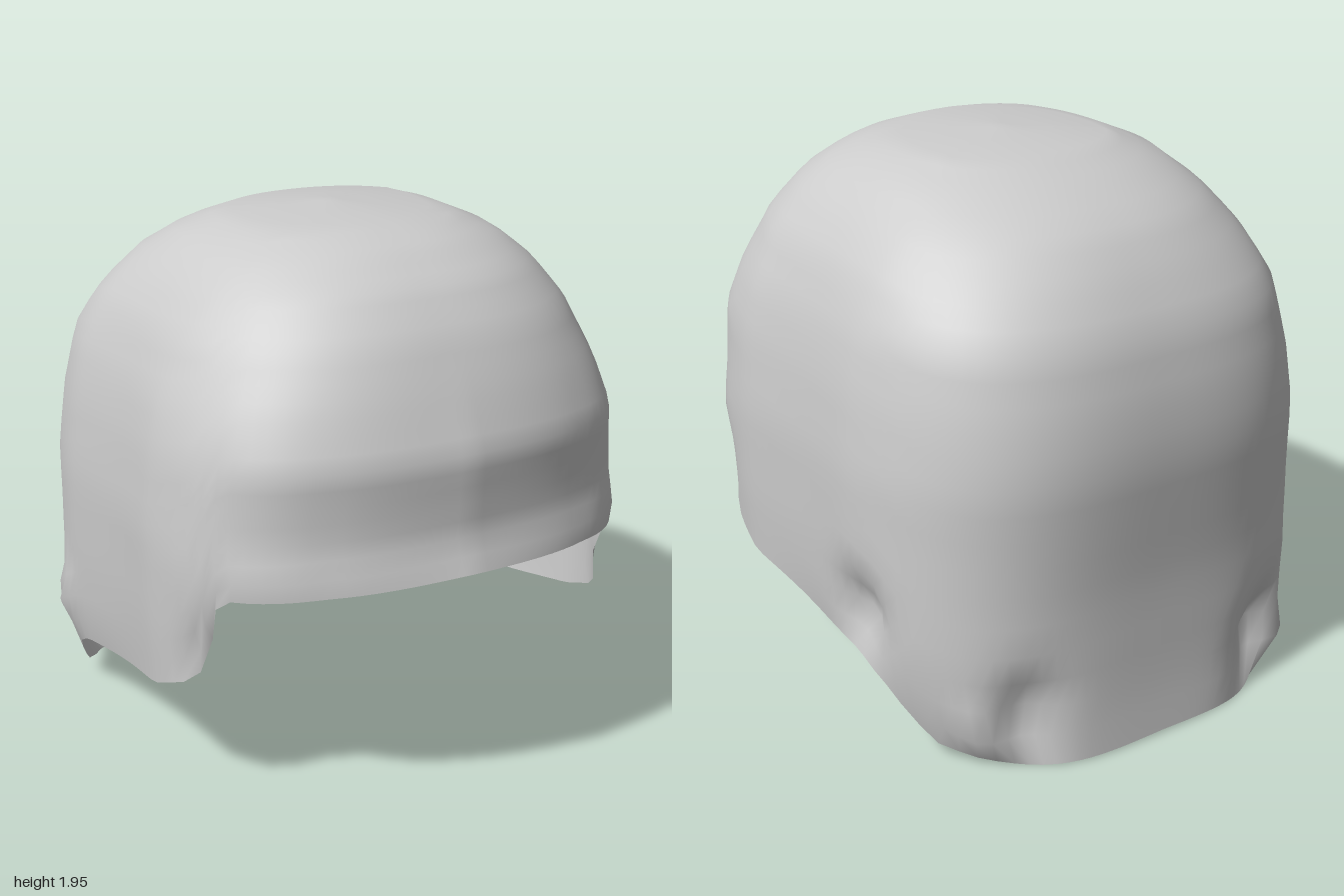
import * as THREE from 'three';

// piecewise-linear lookup in [key, value] pairs
function lookup(table, k) {
  if (k <= table[0][0]) return table[0][1];
  for (let i = 1; i < table.length; i++) {
    const [k0, v0] = table[i - 1], [k1, v1] = table[i];
    if (k <= k1) return v0 + (v1 - v0) * (k - k0) / (k1 - k0);
  }
  return table[table.length - 1][1];
}

const TOP = 1.965;
// half width, front reach and back reach by height
const WIDTH = [[0.01, 0.68], [0.06, 0.77], [0.2, 0.82], [0.42, 0.865], [0.65, 0.88], [1, 0.885], [1.27, 0.86],
  [1.45, 0.825], [1.64, 0.755], [1.77, 0.66], [1.87, 0.55], [1.94, 0.38], [TOP, 0]];
const FRONT = [[0.5, 0.96], [0.85, 0.98], [0.91, 1], [1.03, 0.955], [1.2, 0.96], [1.3, 0.97], [1.5, 0.88],
  [1.67, 0.79], [1.8, 0.68], [1.9, 0.53], [1.95, 0.38], [TOP, 0]];
const BACK = [[0.02, 0.98], [0.2, 0.96], [0.6, 0.95], [1.05, 0.98], [1.25, 0.96], [1.48, 0.9], [1.65, 0.79],
  [1.77, 0.68], [1.87, 0.5], [1.94, 0.31], [TOP, 0]];
// rim height by angle: nape, neck side, cheek, brow
const RIM = [[-90, 0.02], [-49, 0.01], [-37, 0.05], [-34, 0.09], [-28, 0.23], [-20, 0.31], [0, 0.37], [20, 0.43],
  [30, 0.5], [34, 0.56], [37, 0.74], [39, 0.82], [42, 0.86], [58, 0.885], [90, 0.91]];
// squareness of the plan outline by height, front and back
const SQUARE_FRONT = [[0.5, 3.2], [1.3, 3.2], [1.6, 2.6], [1.9, 2.4]];
const SQUARE_BACK = [[0.2, 3.6], [0.8, 3.1], [1.3, 2.9], [1.5, 2.9], [1.7, 2.4], [1.85, 2.15]];
// strength of the upright ridge down the middle of the brow, by height
const RIDGE = [[1.3, 0.05], [1.6, 0]];
// dents (negative) and flares (positive): x, y, z, radius, amount
const DENTS = [
  [0.88, 0.48, -0.38, 0.12, -0.09],
  [0.55, 0.2, -0.93, 0.12, -0.09], [-0.52, 0.2, -0.93, 0.13, -0.12],
  [-0.86, 0.42, -0.5, 0.1, 0.05], [-0.66, 0.14, -0.85, 0.09, 0.06], [0.68, 0.11, -0.83, 0.09, 0.045],
  [-0.8, 0.6, 0.64, 0.11, -0.09], [0.8, 0.68, 0.65, 0.12, -0.04],
];

function shellGeometry(columns, rows) {
  const pos = [], index = [];
  for (let i = 0; i < columns; i++) {
    const a = i / columns * Math.PI * 2, c = Math.cos(a), s = Math.sin(a);
    const rim = lookup(RIM, Math.atan2(s, Math.abs(c)) * 180 / Math.PI);
    for (let j = 0; j < rows; j++) {
      const y = rim + (TOP - rim) * Math.sin(j / rows * Math.PI / 2);
      const n = lookup(s > 0 ? SQUARE_FRONT : SQUARE_BACK, y);
      const r = Math.pow(Math.abs(c) ** n + Math.abs(s) ** n, -1 / n);
      const p = new THREE.Vector3(c * r * lookup(WIDTH, y), y, s * r * lookup(s > 0 ? FRONT : BACK, y));
      // slight waist at the middle of each side
      p.x *= 0.985 + 0.03 * Math.min(1, (p.z / 0.35) ** 2);
      if (s > 0) p.z *= 1 - lookup(RIDGE, y) * Math.min(1, Math.abs(p.x) / 0.5);
      const out = new THREE.Vector3(c ** 3, 0, s ** 3).normalize();
      let push = 0;
      for (const [x, h, z, radius, amount] of DENTS) {
        const d = p.distanceTo(new THREE.Vector3(x, h, z)) / radius;
        push += amount * Math.exp(-d * d);
      }
      p.addScaledVector(out, push);
      pos.push(p.x, p.y, p.z);
    }
  }
  const apex = columns * rows;
  pos.push(0, TOP, 0);
  for (let i = 0; i < columns; i++) {
    const a = i * rows, b = ((i + 1) % columns) * rows;
    for (let j = 0; j < rows - 1; j++) {
      index.push(a + j, a + j + 1, b + j, b + j, a + j + 1, b + j + 1);
    }
    index.push(a + rows - 1, apex, b + rows - 1);
  }
  const geo = new THREE.BufferGeometry();
  geo.setAttribute('position', new THREE.Float32BufferAttribute(pos, 3));
  geo.setIndex(index);
  geo.computeVertexNormals();
  return geo;
}

export function createModel() {
  const group = new THREE.Group();
  group.name = 'helmet';
  const grey = new THREE.MeshStandardMaterial({ color: 0xcccccc, side: THREE.DoubleSide });
  grey.name = 'light grey';
  // open one-piece shell with brow, cheek and nape rim
  const shell = new THREE.Mesh(shellGeometry(120, 28), grey);
  shell.name = 'shell';
  group.add(shell);
  return group;
}
